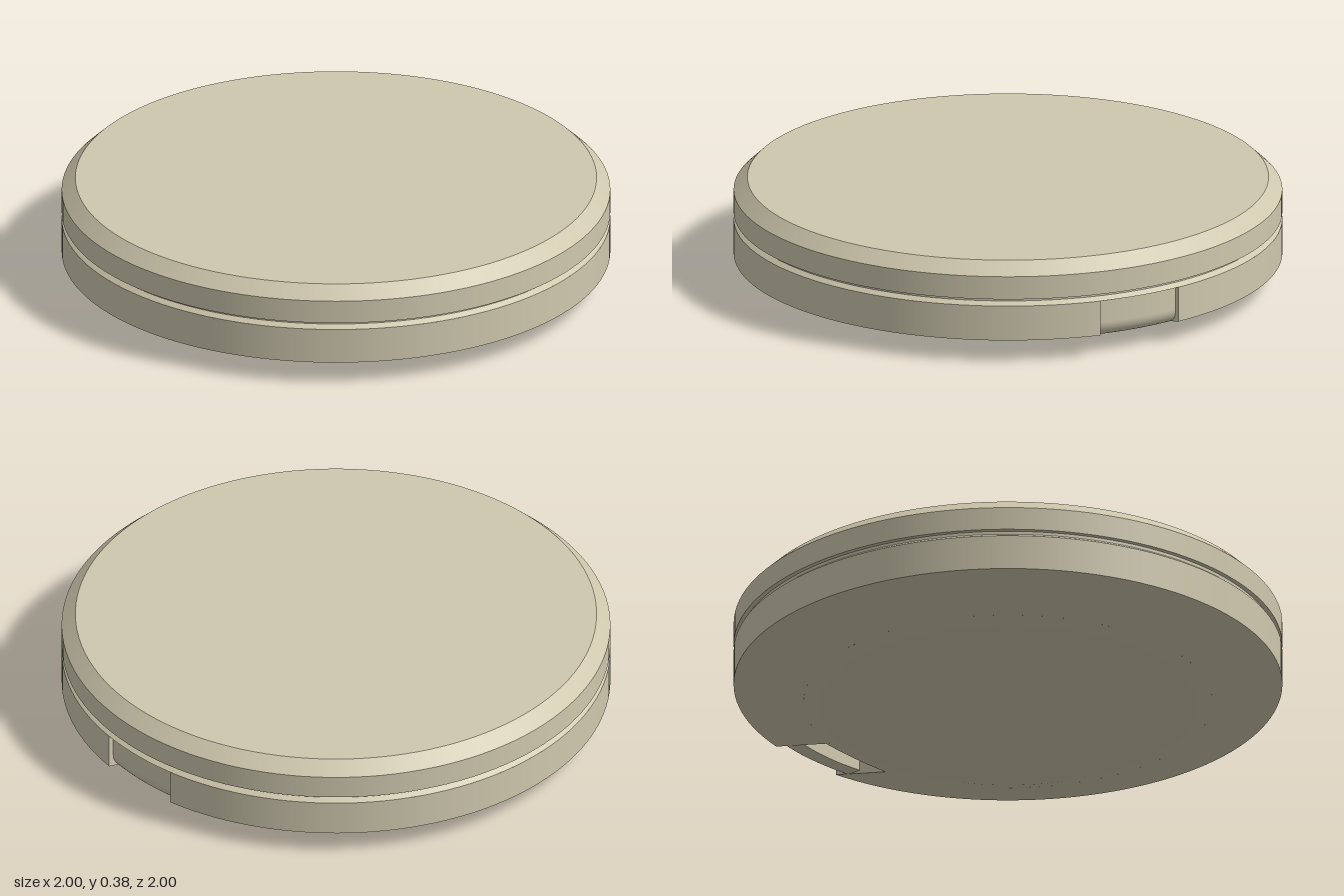
import * as THREE from 'three';
import { ParametricGeometry } from 'three/addons/geometries/ParametricGeometry.js';

const SEG = 128;
const W = 0.1625;                                  // half width of the clasp notch
const CUT = 0.745;                                 // inner edge of the notch
const coneY = r => (r - 0.69) * 0.083 / 0.31;      // height of the tapered underside

export function createModel() {
  const shell = new THREE.MeshStandardMaterial({ color: 0xcfc8ae, side: THREE.DoubleSide });
  shell.name = 'beige shell';
  const model = new THREE.Group();
  model.name = 'roundCase';

  const add = (parent, name, geometry) => {
    const mesh = new THREE.Mesh(geometry, shell);
    mesh.name = name;
    parent.add(mesh);
    return mesh;
  };
  // One crisp-edged ring between two [radius, height] points
  const band = (name, a, b, start = 0, length = Math.PI * 2) =>
    add(model, name, new THREE.LatheGeometry(
      [new THREE.Vector2(...a), new THREE.Vector2(...b)], SEG, start, length));

  // Base, complete out to the notch
  band('baseDisc', [0, 0], [0.69, 0]);
  band('innerTaper', [0.69, 0], [CUT, coneY(CUT)]);

  // Outer taper, left open at the back with parallel notch sides
  add(model, 'outerTaper', new ParametricGeometry((u, v, p) => {
    const r = CUT + (1 - CUT) * v;
    const gap = Math.asin(W / r);
    const t = Math.PI + gap + u * 2 * (Math.PI - gap);
    p.set(r * Math.sin(t), coneY(r), r * Math.cos(t));
  }, SEG, 8));

  // Lower rim, open at the notch
  const gap = Math.asin(W);
  band('lowerRim', [1, 0.083], [1, 0.215], Math.PI + gap, 2 * (Math.PI - gap));

  // Seam groove and lid
  band('seamBevel', [1, 0.215], [0.982, 0.229]);
  band('seamGroove', [0.982, 0.229], [0.982, 0.241]);
  band('lidUnderside', [0.982, 0.241], [1, 0.241]);
  band('lidRim', [1, 0.241], [1, 0.328]);
  band('lidChamfer', [1, 0.328], [0.95, 0.375]);
  band('lidTop', [0.95, 0.375], [0, 0.375]);

  // Clasp notch: strips across x between profile rows, each row giving [y, z]
  const notch = new THREE.Group();
  notch.name = 'claspNotch';
  model.add(notch);
  const arc = (r, y) => x => [y, -Math.sqrt(r * r - x * x)];
  const line = (z, y) => () => [y, -z];
  const strip = (name, a, b) => add(notch, name, new ParametricGeometry((u, v, p) => {
    const x = W * (1 - 2 * u);
    const [ya, za] = a(x);
    const [yb, zb] = b(x);
    p.set(x, ya + (yb - ya) * v, za + (zb - za) * v);
  }, 16, 1));

  const straightEdge = x => [coneY(Math.hypot(x, CUT)), -CUT];
  const rows = [
    ['notchEdge', arc(CUT, coneY(CUT))],
    ['slotSlope', straightEdge],
    ['slotInnerWall', line(0.8, 0.074)],
    ['slotCeiling', line(0.815, 0.13)],
    ['claspBack', arc(0.885, 0.13)],
    ['claspUnderside', arc(0.885, 0.065)],
    ['', arc(0.925, 0.065)],
  ];
  for (let i = 0; i < rows.length - 1; i++) strip(rows[i][0], rows[i][1], rows[i + 1][1]);

  // Rounded lower lip and face of the clasp
  add(notch, 'claspLip', new ParametricGeometry((u, v, p) => {
    const x = W * (1 - 2 * u);
    const t = v * Math.PI / 2;
    const [y, z] = arc(0.925 + 0.055 * Math.sin(t), 0.125 - 0.06 * Math.cos(t))(x);
    p.set(x, y, z);
  }, 16, 10));
  strip('claspFace', arc(0.98, 0.125), arc(0.98, 0.215));
  strip('notchTop', arc(0.98, 0.215), arc(1, 0.215));

  // Flat side walls of the notch
  const zIn = Math.sqrt(CUT * CUT - W * W);
  const zOut = Math.sqrt(1 - W * W);
  const wall = new THREE.Shape();
  wall.moveTo(zIn, coneY(CUT));
  wall.lineTo(zOut, 0.083);
  wall.lineTo(zOut, 0.215);
  wall.lineTo(zIn, 0.215);
  for (const side of [-1, 1]) {
    const mesh = add(notch, side > 0 ? 'leftNotchWall' : 'rightNotchWall', new THREE.ShapeGeometry(wall));
    mesh.rotation.y = Math.PI / 2;
    mesh.position.x = side * W;
  }
  return model;
}
